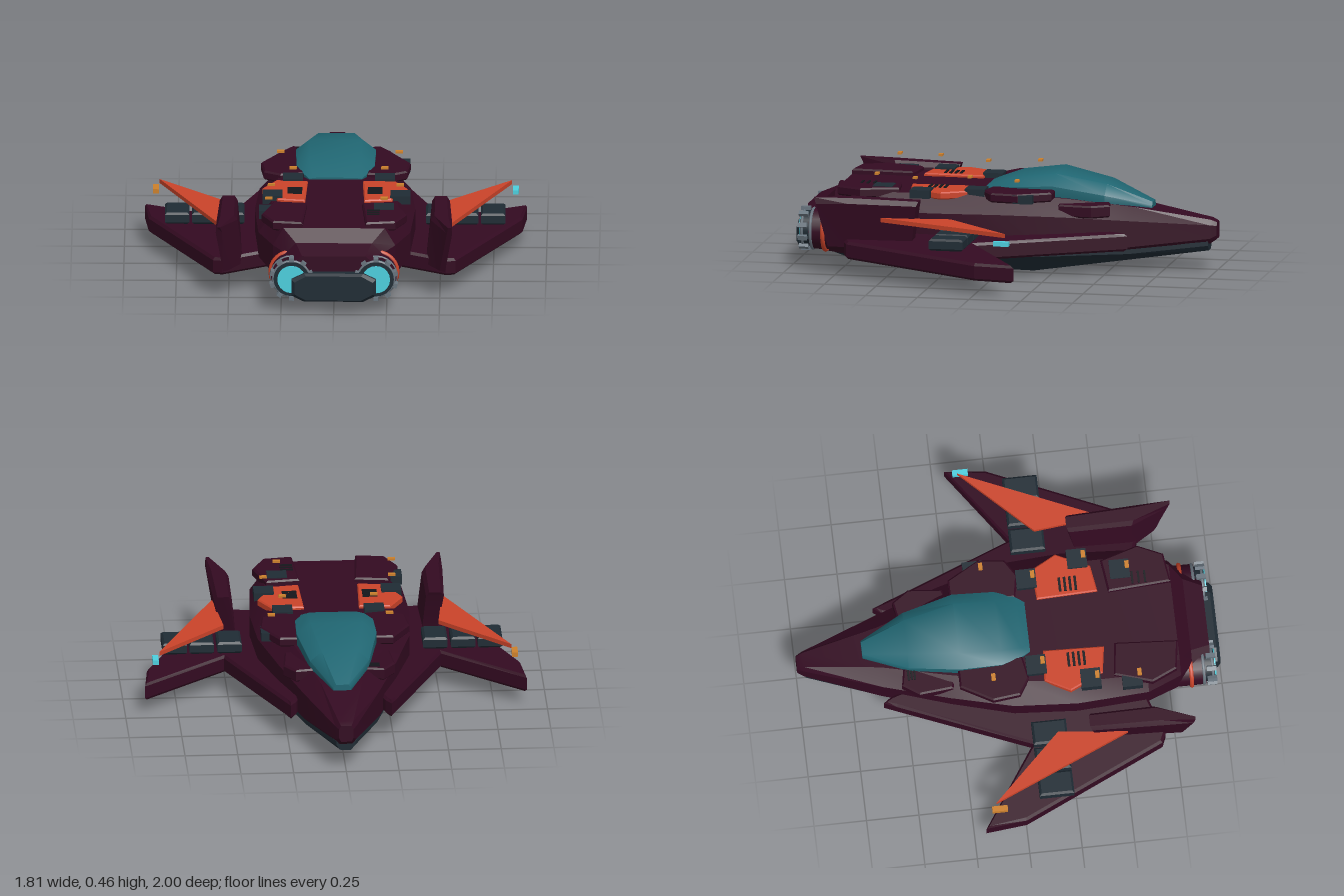
import * as THREE from 'three';
import { toCreasedNormals } from 'three/addons/utils/BufferGeometryUtils.js';

const mat = (name, color) => {
  const m = new THREE.MeshStandardMaterial({ color });
  m.name = name;
  return m;
};

export function createModel() {
  const hullRed = mat('maroon hull', 0x330a21), glass = mat('teal glass', 0x206672);
  const dark = mat('dark slate', 0x1f2b34), orange = mat('burnt orange', 0xca4329);
  const cyan = mat('cyan glow', 0x4ccfde), grey = mat('engine grey', 0x68747e);
  const gold = mat('amber lamp', 0xcc802c), black = mat('vent black', 0x14161b);
  const ship = new THREE.Group();

  const add = (name, geo, material, x = 0, y = 0, z = 0) => {
    const m = new THREE.Mesh(geo, material);
    m.name = name;
    m.position.set(x, y, z);
    ship.add(m);
    return m;
  };
  const box = (name, material, w, h, d, x, y, z) =>
    add(name, new THREE.BoxGeometry(w, h, d), material, x, y, z);

  // Skin closed rings of [x, y, z], counter-clockwise as seen from +z
  const loft = (name, rings, material, crease = 0.3) => {
    const pos = [], n = rings[0].length;
    const tri = (a, b, c) => pos.push(...a, ...b, ...c);
    for (let i = 0; i + 1 < rings.length; i++)
      for (let j = 0; j < n; j++) {
        const k = (j + 1) % n, A = rings[i], B = rings[i + 1];
        tri(A[j], A[k], B[k]);
        tri(A[j], B[k], B[j]);
      }
    const first = rings[0], last = rings[rings.length - 1];
    for (let j = 1; j + 1 < n; j++) {
      tri(first[0], first[j + 1], first[j]);
      tri(last[0], last[j], last[j + 1]);
    }
    const g = new THREE.BufferGeometry();
    g.setAttribute('position', new THREE.Float32BufferAttribute(pos, 3));
    return add(name, toCreasedNormals(g, crease), material);
  };
  // Eight-sided section: z, half widths (top, middle, bottom), heights (top, upper, lower, bottom)
  const octagon = ([z, t, m, b, yt, yh, yl, yb]) => [
    [b, yb, z], [m, yl, z], [m, yh, z], [t, yt, z],
    [-t, yt, z], [-m, yh, z], [-m, yl, z], [-b, yb, z]];

  // Flat plate from an [x, z] outline between two heights
  const plate = (name, pts, y0, y1, material, s = 1, bevel = 0.008) => {
    const shape = new THREE.Shape(pts.map(([x, z]) => new THREE.Vector2(x * s, z)));
    const g = new THREE.ExtrudeGeometry(shape, {
      depth: y1 - y0 - 2 * bevel, bevelEnabled: bevel > 0, bevelSegments: 1,
      bevelSize: bevel, bevelOffset: -bevel, bevelThickness: bevel });
    g.rotateX(Math.PI / 2);
    g.translate(0, y1 - bevel, 0);
    return add(name, g, material);
  };

  // Fuselage, belly and canopy
  loft('hull', [
    [-1, 0.025, 0.034, 0.025, 0.232, 0.215, 0.17, 0.152],
    [-0.97, 0.035, 0.05, 0.03, 0.245, 0.22, 0.155, 0.13],
    [-0.61, 0.1, 0.18, 0.13, 0.305, 0.25, 0.125, 0.08],
    [-0.3, 0.19, 0.28, 0.2, 0.35, 0.275, 0.13, 0.06],
    [0, 0.26, 0.36, 0.235, 0.37, 0.29, 0.16, 0.04],
    [0.3, 0.3, 0.38, 0.24, 0.372, 0.29, 0.17, 0.04],
    [0.64, 0.3, 0.36, 0.235, 0.37, 0.29, 0.17, 0.04],
    [0.8, 0.24, 0.29, 0.19, 0.365, 0.28, 0.14, 0.05],
    [0.86, 0.18, 0.23, 0.17, 0.31, 0.26, 0.12, 0.055],
    [0.95, 0.15, 0.19, 0.14, 0.275, 0.24, 0.11, 0.07]].map(octagon), hullRed);
  loft('belly', [
    [-0.96, 0.03, 0.045, 0.025, 0.15, 0.14, 0.12, 0.095],
    [-0.6, 0.1, 0.17, 0.1, 0.13, 0.118, 0.09, 0.052],
    [-0.15, 0.2, 0.29, 0.2, 0.14, 0.115, 0.08, 0],
    [0.13, 0.22, 0.315, 0.2, 0.14, 0.12, 0.1, 0.004],
    [0.48, 0.2, 0.25, 0.19, 0.11, 0.09, 0.06, 0.01],
    [0.72, 0.18, 0.23, 0.18, 0.1, 0.08, 0.055, 0.018],
    [0.84, 0.12, 0.18, 0.13, 0.1, 0.08, 0.065, 0.045]].map(octagon), dark);
  loft('canopy', [
    [-0.69, 0.03, 0.042, 0.035, 0.32, 0.305, 0.29, 0.27],
    [-0.48, 0.085, 0.14, 0.12, 0.408, 0.36, 0.31, 0.28],
    [-0.24, 0.125, 0.19, 0.18, 0.456, 0.405, 0.35, 0.3],
    [-0.04, 0.125, 0.185, 0.17, 0.43, 0.395, 0.36, 0.33],
    [0.06, 0.11, 0.15, 0.14, 0.395, 0.385, 0.36, 0.34],
    [0.1, 0.09, 0.125, 0.12, 0.38, 0.375, 0.36, 0.34]].map(octagon), glass, 0.8);
  loft('exhaustBlock', [
    [0.9, 0.14, 0.2, 0.14, 0.2, 0.17, 0.09, 0.06],
    [0.985, 0.14, 0.2, 0.14, 0.2, 0.17, 0.09, 0.06],
    [1, 0.13, 0.185, 0.13, 0.19, 0.16, 0.1, 0.07]].map(octagon), dark);

  for (const s of [1, -1]) {
    const side = s > 0 ? 'left' : 'right';

    // Forward-swept wing with its strake, drooping towards the tip
    const wing = plate(side + 'Wing', [[0.19, -0.5], [0.212, -0.57], [0.24, -0.61], [0.265, -0.55], [0.515, 0.07],
      [0.905, -0.195], [0.885, 0], [0.575, 0.68], [0.53, 0.7], [0.42, 0.66], [0.25, 0.6]],
      -0.042, 0.042, hullRed, s, 0.012);
    const p = wing.geometry.attributes.position;
    for (let i = 0; i < p.count; i++)
      p.setY(i, p.getY(i) + 0.147 - (Math.abs(p.getX(i)) - 0.38) * 0.075);
    wing.geometry.computeVertexNormals();

    // Thick tail fin leaning outwards, drawn to an edge at the rear
    const fin = [
      [[0.44, 0.14, 0.38], [0.51, 0.14, 0.38], [0.545, 0.35, 0.35], [0.53, 0.372, 0.34], [0.475, 0.372, 0.34], [0.46, 0.35, 0.35]],
      [[0.432, 0.14, 0.65], [0.52, 0.14, 0.66], [0.558, 0.355, 0.68], [0.54, 0.38, 0.68], [0.475, 0.38, 0.66], [0.458, 0.355, 0.65]],
      [[0.5, 0.14, 0.76], [0.525, 0.14, 0.78], [0.56, 0.35, 0.83], [0.555, 0.38, 0.84], [0.54, 0.38, 0.84], [0.53, 0.35, 0.82]]];
    loft(side + 'Fin', fin.map(r => s > 0 ? r : r.map(([x, y, z]) => [-x, y, z]).reverse()), hullRed);

    // Wing blade, equipment boxes and tip lamp
    plate(side + 'Blade', [[0.835, -0.14], [0.51, 0.19], [0.545, 0.52]], 0.27, 0.29, orange, s, 0);
    for (const x of [0.488, 0.62, 0.748])
      plate(side + 'WingBox', [[x - 0.058, 0.07], [x + 0.058, 0.07], [x + 0.058, 0.235], [x - 0.058, 0.235]],
        0.19, 0.247, dark, s, 0.01);
    box(side + 'TipLamp', s > 0 ? cyan : gold, 0.028, 0.022, 0.074, s * 0.852, 0.245, -0.125);

    // Deck armour
    plate(side + 'NosePlate', [[0.1, -0.5], [0.21, -0.52], [0.265, -0.44], [0.25, -0.28], [0.12, -0.24]],
      0.27, 0.33, hullRed, s);
    plate(side + 'CockpitPlate', [[0.15, -0.25], [0.27, -0.25], [0.355, -0.1], [0.34, 0.03], [0.26, 0.08], [0.15, 0.06]],
      0.345, 0.39, hullRed, s);
    plate(side + 'OrangePlate', [[0.13, 0.16], [0.28, 0.15], [0.345, 0.27], [0.27, 0.43], [0.14, 0.45]],
      0.35, 0.386, orange, s, 0.006);
    plate(side + 'RearPlate', [[0.13, 0.5], [0.29, 0.48], [0.345, 0.66], [0.29, 0.78], [0.15, 0.8]],
      0.345, 0.392, hullRed, s);
    for (let i = 0; i < 4; i++)
      box(side + 'Vent', black, 0.07, 0.008, 0.012, s * 0.19, 0.387, 0.275 + i * 0.025);

    // Engine: housing, orange band, grey collar, clamps and glowing nozzle
    const ex = s * 0.2, ey = 0.165;
    const drum = (name, r, len, z, m) =>
      add(name, new THREE.CylinderGeometry(r, r, len, 20).rotateX(Math.PI / 2), m, ex, ey, z);
    drum(side + 'EngineHousing', 0.098, 0.24, 0.8, hullRed);
    drum(side + 'EngineThroat', 0.085, 0.06, 0.935, dark);
    drum(side + 'EngineGlow', 0.067, 0.012, 0.966, cyan);
    add(side + 'EngineBand', new THREE.TorusGeometry(0.1, 0.011, 6, 24), orange, ex, ey, 0.852);
    add(side + 'FrontCollar', new THREE.TorusGeometry(0.095, 0.008, 6, 24), grey, ex, ey, 0.912);
    add(side + 'RearCollar', new THREE.TorusGeometry(0.086, 0.007, 6, 24), grey, ex, ey, 0.955);
    for (let i = 0; i < 10; i++) {
      const a = (i + 0.5) / 10 * Math.PI * 2;
      box(side + 'EngineClamp', grey, 0.018, 0.022, 0.045, ex + Math.cos(a) * 0.096, ey + Math.sin(a) * 0.096, 0.95)
        .rotation.z = a;
    }
  }

  // Vents on one side only
  for (let i = 0; i < 3; i++) {
    box('rearVent', black, 0.06, 0.008, 0.01, 0.185, 0.393, 0.62 + i * 0.03);
    box('noseVent', black, 0.05, 0.008, 0.01, -0.165, 0.331, -0.485 + i * 0.015);
  }

  // Deck hatches, two of them partly sunk under the armour
  for (const [x, z, y = 0.375] of [[-0.2, 0.12], [-0.295, 0.37], [-0.31, 0.565, 0.367], [0.235, 0.12],
    [0.31, 0.37], [0.235, 0.565], [0.305, -0.125, 0.365]])
    box('deckHatch', dark, 0.095, 0.04, 0.095, x, y, z);
  // Hovering marker lamps
  for (const [x, z] of [[-0.26, -0.09], [-0.2, 0.15], [-0.3, 0.4], [-0.31, 0.6], [0.3, -0.09], [0.235, 0.15], [0.31, 0.4], [0.235, 0.6]])
    box('markerLamp', gold, 0.035, 0.01, 0.02, x, 0.447, z);

  return ship;
}
